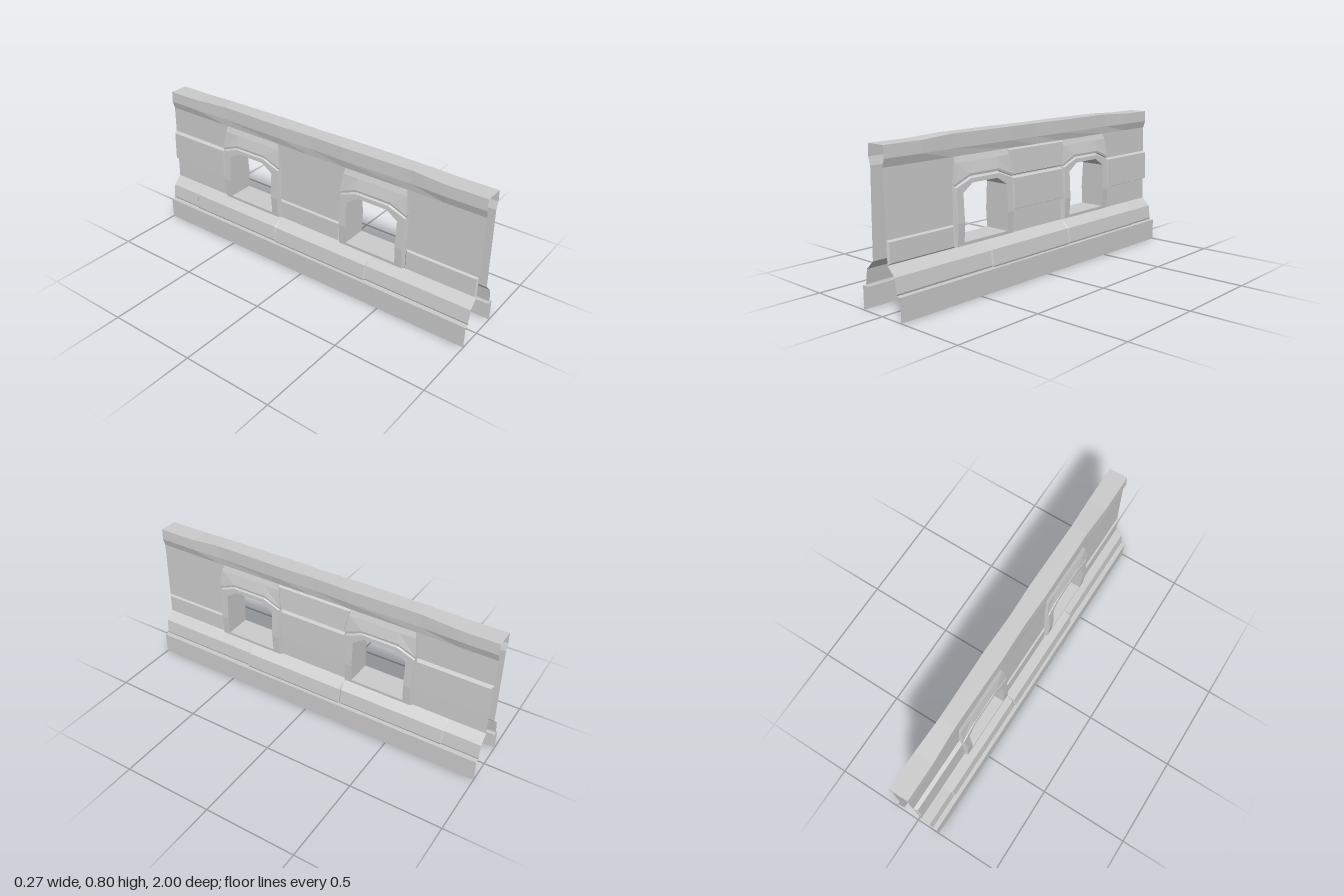
import * as THREE from 'three';

const material = new THREE.MeshStandardMaterial({ color: 0xcccccc, flatShading: true, side: THREE.DoubleSide });

// Skin a surface over rows of [x, y, z] points with equal counts
function skin(rows, { closed = false, side = 1 } = {}) {
  const pos = [];
  const put = (...pts) => {
    if (side < 0) pts.reverse();
    pts.forEach(([x, y, z]) => pos.push(x * side, y, z));
  };
  for (let i = 0; i < rows.length - 1; i++) {
    const n = rows[i].length;
    for (let j = 0; j < (closed ? n : n - 1); j++) {
      const k = (j + 1) % n;
      const a = rows[i][j], b = rows[i][k], c = rows[i + 1][k], d = rows[i + 1][j];
      put(a, b, c);
      put(a, c, d);
    }
  }
  const geo = new THREE.BufferGeometry();
  geo.setAttribute('position', new THREE.Float32BufferAttribute(pos, 3));
  geo.computeVertexNormals();
  return geo;
}

// Half thickness of the wall and of the raised window frame at height y
const wallX = (y) => 0.053 - (y - 0.25) * 0.0227;
const frameX = (y) => (y > 0.37 ? 0.079 - (y - 0.37) * 0.055 : 0.079 - (0.37 - y) * 0.06);

// Arched window outlines as [z, y], relative to the window centre
const mirrorOutline = (half) => [...half, ...half.map(([z, y]) => [-z, y]).reverse()];
const outer = mirrorOutline([[-0.2, 0.25], [-0.2, 0.37], [-0.2, 0.55], [-0.1, 0.59]]);
const raised = mirrorOutline([[-0.192, 0.256], [-0.192, 0.37], [-0.192, 0.543], [-0.097, 0.578]]);
const inner = mirrorOutline([[-0.15, 0.272], [-0.15, 0.37], [-0.15, 0.515], [-0.085, 0.556]]);
const windows = [0.4, -0.4];

// Wall face with two window openings, leaning inward toward the top
function wallFace(side) {
  const shape = new THREE.Shape([[-1, 0.25], [1, 0.25], [1, 0.69], [-1, 0.69]].map((p) => new THREE.Vector2(...p)));
  for (const c of windows) {
    shape.holes.push(new THREE.Path(inner.map(([z, y]) => new THREE.Vector2(z + c, y))));
  }
  const geo = new THREE.ShapeGeometry(shape);
  geo.rotateY((side * Math.PI) / 2);
  const p = geo.attributes.position;
  for (let i = 0; i < p.count; i++) p.setX(i, side * wallX(p.getY(i)));
  geo.computeVertexNormals();
  return geo;
}

// Frame on both faces joined by the reveal through the wall
function windowFrame(c) {
  const loop = (outline, s, fx) => outline.map(([z, y]) => [s * fx(y), y, z + c]);
  return skin([
    loop(outer, 1, wallX), loop(raised, 1, frameX), loop(inner, 1, frameX),
    loop(inner, -1, frameX), loop(raised, -1, frameX), loop(outer, -1, wallX),
  ], { closed: true });
}

// Sloping hood over a window
function windowHood(c, side) {
  const stations = [[0.2, 0.55], [0.1, 0.59], [-0.1, 0.59], [-0.2, 0.55]];
  const section = ([z, y], out) => [
    [wallX(0.69), 0.69, c + z * 0.9],
    [out ? 0.054 : wallX(0.66), 0.66, c + z * 0.93],
    [out ? 0.068 : wallX(y), y + 0.012, c + z],
    [out ? 0.066 : wallX(y), y, c + z],
    [wallX(y), y, c + z],
  ];
  const rows = stations.map((s) => section(s, true));
  return skin([section(stations[0], false), ...rows, section(stations[3], false)], { side });
}

// Raised bevelled block on the wall face; flare widens its top edge
function block(side, z1, z0, yb, yt, xb, xt, flare = 0) {
  const e = 0.008;
  const row = (z, dir, out) => [
    [wallX(yt), yt, z + dir * flare],
    [out ? xt : wallX(yt), yt - (out ? e : 0), z + dir * flare],
    [out ? xb : wallX(yb), yb + (out ? e : 0), z],
    [wallX(yb), yb, z],
  ];
  return skin([row(z1, 1, false), row(z1 - e, 1, true), row(z0 + e, -1, true), row(z0, -1, false)], { side });
}

// Sloping plinth section pushed outward by d
const plinth = (z, d) => [
  [0.053, 0.25 + d * 0.1, z], [0.1 + d, 0.205 + d * 0.5, z],
  [0.111 + d, 0.13, z], [0.108 + d, 0.121, z], [0.1, 0.12, z],
];

export function createModel() {
  const group = new THREE.Group();
  const add = (name, geo) => {
    const mesh = new THREE.Mesh(geo, material);
    mesh.name = name;
    group.add(mesh);
  };

  // Uneven crown along the top: [z, half width, height]
  const stations = [
    [1, 0.052, 0.79], [0.78, 0.052, 0.79], [0.6, 0.045, 0.8], [0.2, 0.049, 0.8], [0, 0.044, 0.8],
    [-0.2, 0.049, 0.8], [-0.6, 0.044, 0.8], [-0.8, 0.052, 0.79], [-1, 0.052, 0.79],
  ];
  add('wallCrown', skin(stations.map(([z, w, h]) => {
    const half = [[wallX(0.69), 0.69, z], [w + 0.003, 0.73, z], [w, h, z]];
    return [...half.map(([x, y]) => [-x, y, z]), ...half.reverse()];
  })));

  for (const c of windows) add('windowFrame', windowFrame(c));

  for (const side of [1, -1]) {
    add('wallFace', wallFace(side));
    for (const c of windows) add('windowHood', windowHood(c, side));

    // Stone blocks shared by both faces
    add('lowerBlock', block(side, 1, 0.6, 0.252, 0.365, 0.063, 0.06));
    add('endBlock', block(side, -0.6, -1, 0.37, 0.545, 0.073, 0.067));

    // Plinth, its raised slabs and the vertical base skirt
    add('plinth', skin([plinth(1, 0), plinth(-1, 0)], { side }));
    for (const [z1, z0, d] of [[0.4, -0.2, 0.009], [-0.2, -0.8, 0.005]]) {
      add('plinthSlab', skin([plinth(z1, 0), plinth(z1 - 0.006, d), plinth(z0 + 0.006, d), plinth(z0, 0)], { side }));
    }
    const skirt = (z) => [[0.1, 0.12, z], [0.135, 0.12, z], [0.135, 0, z]];
    add('baseSkirt', skin([skirt(1), skirt(-1)], { side }));
  }

  // Blocks between the windows differ on the two faces
  add('middleBlock', block(1, 0.2, -0.2, 0.37, 0.545, 0.073, 0.067));
  add('upperBlock', block(1, 0.2, -0.2, 0.55, 0.69, 0.065, 0.054, 0.02));
  add('middleBlock', block(-1, 0.2, -0.2, 0.252, 0.365, 0.063, 0.06));

  return group;
}
